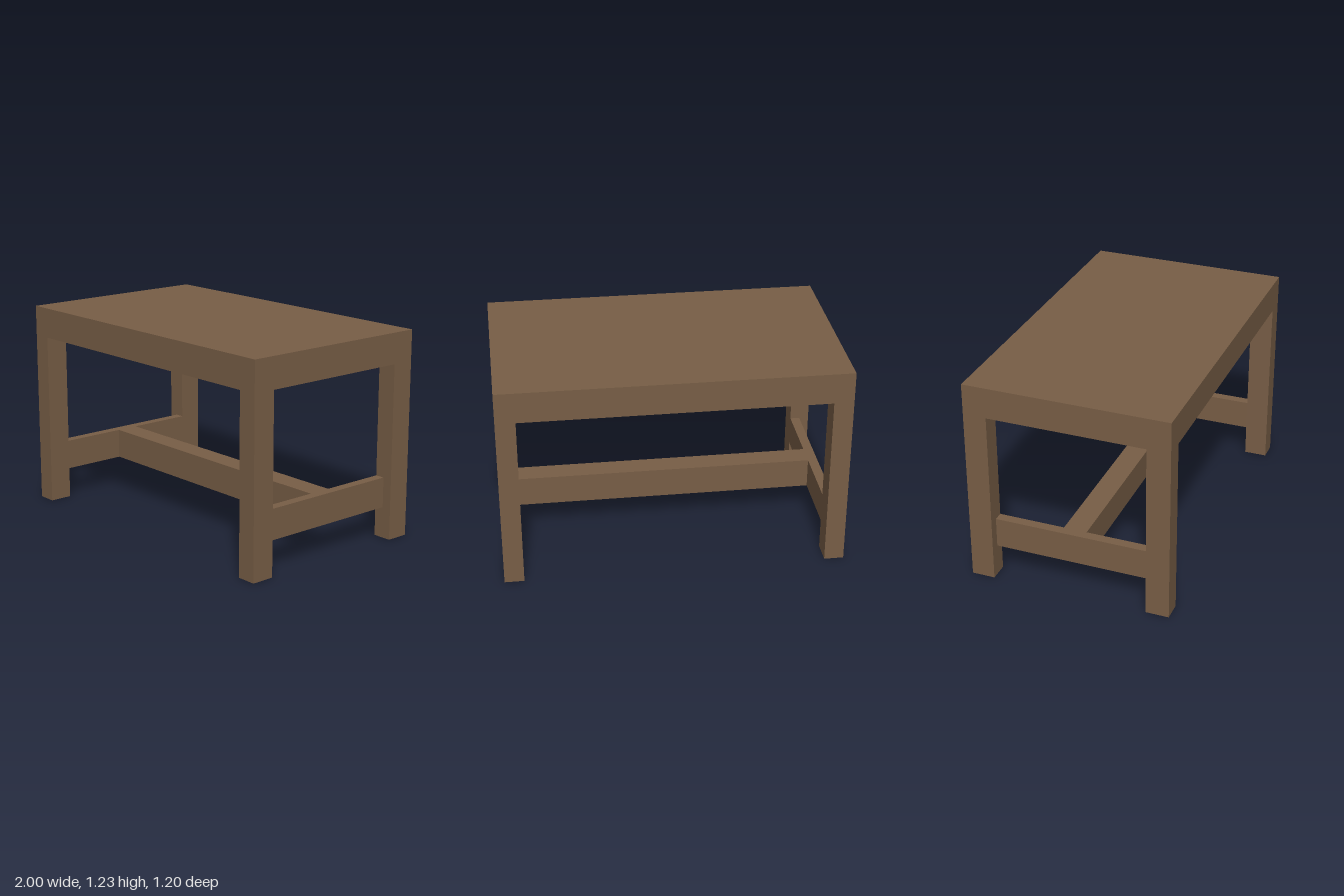
import * as THREE from 'three';

export function createModel() {
  const table = new THREE.Group();
  table.name = 'table';
  const wood = new THREE.MeshStandardMaterial({ color: 0x785e46 });
  wood.name = 'brown wood';

  const W = 2, D = 1.2, H = 1.227;   // overall size
  const legX = 0.115, legZ = 0.137;  // leg section
  const slab = 0.182;                // top thickness
  const railY = 0.275, railH = 0.18; // stretcher height and depth
  const inX = W / 2 - legX, inZ = D / 2 - legZ;

  function box(name, w, h, d, x, y, z) {
    const mesh = new THREE.Mesh(new THREE.BoxGeometry(w, h, d), wood);
    mesh.name = name;
    mesh.position.set(x, y, z);
    table.add(mesh);
  }

  // Thick solid top
  box('tableTop', W, slab, D, 0, H - slab / 2, 0);

  for (const sx of [-1, 1]) {
    const side = sx > 0 ? 'left' : 'right';
    // Corner legs, flush with the edges of the top
    for (const sz of [-1, 1]) {
      box(`${side}${sz > 0 ? 'Front' : 'Back'}Leg`, legX, H - slab, legZ,
        sx * (W / 2 - legX / 2), (H - slab) / 2, sz * (D / 2 - legZ / 2));
    }
    // Thin side stretcher, flush with the inner faces of the legs
    box(`${side}Stretcher`, legX / 2, railH, inZ * 2, sx * (inX + legX / 4), railY, 0);
  }

  // Long stretcher joining the two side stretchers
  box('centreStretcher', inX * 2, railH, legZ, 0, railY, 0);

  return table;
}
